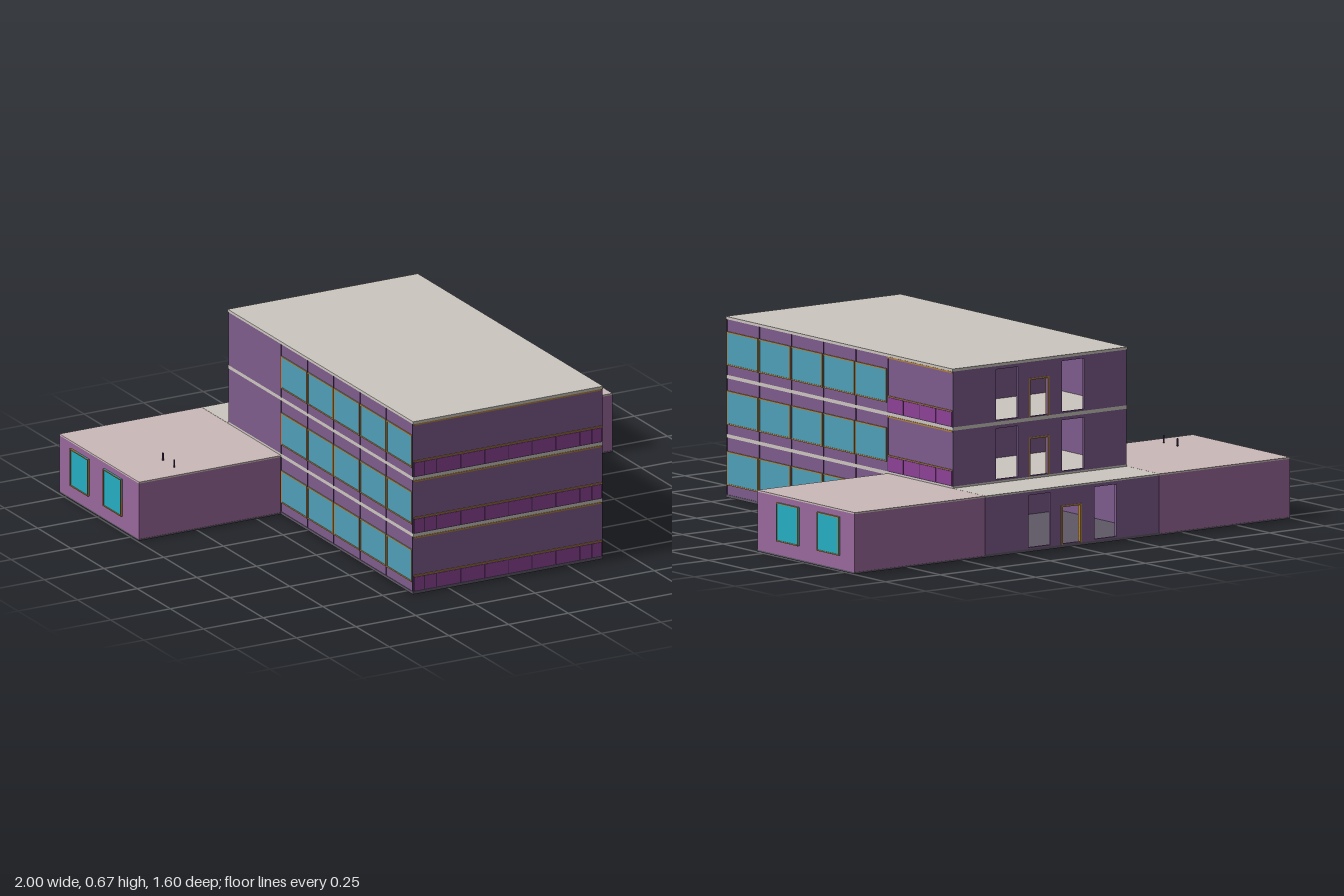
import * as THREE from 'three';

const mat = (color) => new THREE.MeshStandardMaterial({ color });

export function createModel() {
  const model = new THREE.Group();
  const M = {
    wall: mat(0x7d5c8c), wing: mat(0x99689c), panel: mat(0x8e4296), slab: mat(0xcbc6be),
    wingRoof: mat(0xcbb9b9), glass: mat(0x4f9fb8), wingGlass: mat(0x25aec2),
    frame: mat(0xb0823f), trim: mat(0x4b3358), base: mat(0x5f5866), door: mat(0x3a3548),
  };

  // Box given by its minimum and maximum corners
  function box(name, parent, m, x0, x1, y0, y1, z0, z1) {
    const mesh = new THREE.Mesh(new THREE.BoxGeometry(x1 - x0, y1 - y0, z1 - z0), m);
    mesh.position.set((x0 + x1) / 2, (y0 + y1) / 2, (z0 + z1) / 2);
    mesh.name = name;
    parent.add(mesh);
    return mesh;
  }

  // Framed window on a side wall; s is the side, x the wall face
  function sideWindow(parent, m, s, x, out, y0, y1, z0, z1, t) {
    const span = (d) => (s > 0 ? [x - 0.004, x + d] : [-x - d, -x + 0.004]);
    const [a, b] = span(out * 0.6), [c, d] = span(out);
    box('windowGlass', parent, m, a, b, y0, y1, z0, z1);
    box('windowSill', parent, M.frame, c, d, y0, y0 + t, z0, z1);
    box('windowHead', parent, M.frame, c, d, y1 - t, y1, z0, z1);
    box('windowJamb', parent, M.frame, c, d, y0, y1, z0, z0 + t);
    box('windowJamb', parent, M.frame, c, d, y0, y1, z1 - t, z1);
  }

  // Wall with tall openings and a middle doorway, facing the back
  function backWall(parent, y0, y1, z) {
    const W = 0.394, t = 0.01;
    const shape = new THREE.Shape();
    shape.moveTo(-W, y0).lineTo(W, y0).lineTo(W, y1).lineTo(-W, y1);
    const openings = [[-0.2, -0.1, y0 + 0.006, y1 - 0.012], [0.1, 0.2, y0 + 0.006, y1 - 0.012],
      [-0.035, 0.045, y0 + 0.004, y0 + 0.14]];
    for (const [a, b, c, d] of openings) {
      const hole = new THREE.Path();
      hole.moveTo(a, c).lineTo(a, d).lineTo(b, d).lineTo(b, c);
      shape.holes.push(hole);
    }
    const wall = new THREE.Mesh(new THREE.ExtrudeGeometry(shape, { depth: t, bevelEnabled: false }), M.wall);
    wall.position.z = z;
    wall.name = 'backWall';
    parent.add(wall);
    // Timber frame around the doorway
    for (const x of [-0.041, 0.045]) box('doorJamb', parent, M.frame, x, x + 0.006, y0, y0 + 0.14, z - 0.002, z + 0.012);
    box('doorHead', parent, M.frame, -0.041, 0.051, y0 + 0.14, y0 + 0.146, z - 0.002, z + 0.012);
  }

  // Three storeys of the main block
  const storeys = [[0.01, 0.222, -0.8], [0.235, 0.442, -0.6], [0.455, 0.662, -0.6]];
  storeys.forEach(([y0, y1, back], i) => {
    const g = new THREE.Group();
    g.name = 'storey' + (i + 1);
    model.add(g);
    box('frontWall', g, M.wall, -0.394, 0.394, y0, y1, 0.784, 0.794);
    for (const s of [-1, 1]) {
      const a = s > 0 ? 0.386 : -0.396;
      box('sideWall', g, M.wall, a, a + 0.01, y0, y1, back + 0.001, 0.793);
      // Band of five windows
      for (let k = 0; k < 5; k++) {
        const z1 = 0.79 - k * 0.198;
        sideWindow(g, M.glass, s, 0.396, 0.004, y0 + 0.036, y0 + 0.162, z1 - 0.192, z1, 0.005);
      }
      // Dark lines between the wall panels
      for (let k = 0; k < 6; k++) {
        const z = 0.791 - k * 0.198;
        const e = s > 0 ? 0.394 : -0.398;
        box('panelJoint', g, M.trim, e, e + 0.004, y0, y1, z - 0.003, z + 0.001);
      }
    }
    backWall(g, y0, y1, back);
    // Inner partition and its door
    box('partition', g, M.wall, -0.386, 0.386, y0, y1, -0.205, -0.195);
    box('innerDoor', g, M.door, -0.04, 0.04, y0, y0 + 0.14, -0.209, -0.204);

    // Low coloured panels along the front
    const edges = [-0.394, -0.35, -0.3, -0.2, -0.1, 0, 0.1, 0.2, 0.3, 0.35, 0.394];
    for (let k = 0; k < edges.length - 1; k++) {
      box('frontPanel', g, M.panel, edges[k] + 0.002, edges[k + 1] - 0.002, y0 + 0.004, y0 + 0.056, 0.79, 0.798);
    }
    box('frontPanelBacking', g, M.trim, -0.394, 0.394, y0, y0 + 0.06, 0.788, 0.796);
    box('frontPanelRail', g, M.frame, -0.394, 0.394, y0 + 0.058, y0 + 0.063, 0.79, 0.798);
    box('frontTopRail', g, M.frame, -0.394, 0.394, y1 - 0.006, y1, 0.79, 0.797);

    // Matching panels on the left rear of the upper storeys
    if (i > 0) {
      box('sidePanelBacking', g, M.trim, 0.39, 0.3975, y0, y0 + 0.06, -0.597, -0.2);
      for (let k = 0; k < 4; k++) {
        const z = -0.3 - k * 0.099;
        box('sidePanel', g, M.panel, 0.39, 0.3995, y0 + 0.004, y0 + 0.056, z + 0.002, z + 0.097);
      }
      box('sidePanelRail', g, M.frame, 0.39, 0.3995, y0 + 0.058, y0 + 0.062, -0.597, -0.2);
      box('sideTopRail', g, M.frame, 0.39, 0.399, y1 - 0.006, y1, -0.597, -0.2);
    }
  });

  // Floor slabs, terrace and flat roof
  box('groundSlab', model, M.base, -0.398, 0.398, 0, 0.01, -0.8, 0.796);
  box('firstFloorSlab', model, M.slab, -0.396, 0.396, 0.222, 0.235, -0.6, 0.795);
  box('terrace', model, M.slab, -0.396, 0.396, 0.222, 0.228, -0.8, -0.6);
  box('secondFloorSlab', model, M.slab, -0.396, 0.396, 0.442, 0.455, -0.6, 0.795);
  box('roof', model, M.slab, -0.398, 0.398, 0.662, 0.672, -0.6, 0.797);

  // Single-storey wings on both sides
  for (const s of [-1, 1]) {
    const g = new THREE.Group();
    g.name = s > 0 ? 'leftWing' : 'rightWing';
    model.add(g);
    const [a, b] = s > 0 ? [0.397, 0.992] : [-0.992, -0.397];
    box('wingBody', g, M.wing, a, b, 0.006, 0.222, -0.799, -0.201);
    box('wingBase', g, M.base, a, b, 0, 0.006, -0.8, -0.2);
    box('wingRoof', g, M.wingRoof, a, b, 0.222, 0.228, -0.8, -0.2);
    for (const z of [-0.46, -0.71]) {
      sideWindow(g, M.wingGlass, s, 0.992, 0.008, 0.056, 0.2, z, z + 0.135, 0.004);
    }
  }

  // Two small vent pipes on the right wing's roof
  for (const z of [-0.365, -0.28]) {
    const pipe = new THREE.Mesh(new THREE.CylinderGeometry(0.003, 0.003, 0.03, 8), M.trim);
    pipe.position.set(-0.8, 0.242, z);
    pipe.name = 'ventPipe';
    model.add(pipe);
  }
  return model;
}
